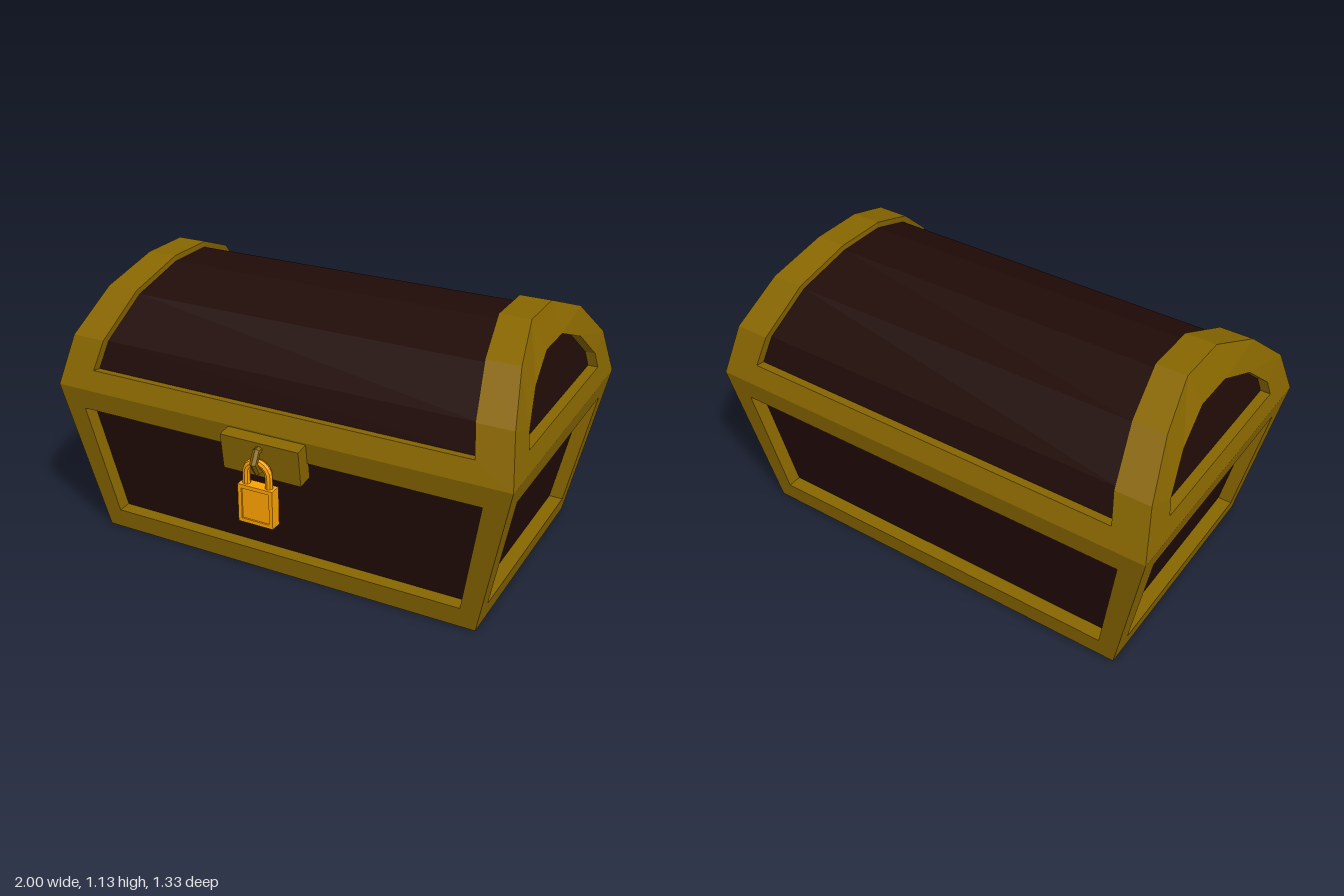
import * as THREE from 'three';

const ZC = -0.056; // the chest body sits slightly behind the origin
const mat = (color) => new THREE.MeshStandardMaterial({ color, flatShading: true });
const gold = mat(0x886600), wood = mat(0x200b07), brass = mat(0xffa200);

const V = (x, y, z) => new THREE.Vector3(x, y, z);

function quadMesh(name, quads, material) {
  const pts = quads.flatMap(([a, b, c, d]) => [a, b, c, a, c, d]);
  const geo = new THREE.BufferGeometry().setFromPoints(pts);
  geo.computeVertexNormals();
  const mesh = new THREE.Mesh(geo, material);
  mesh.name = name;
  return mesh;
}

// Gold border between two matching loops, with a sunken wooden panel inside.
// Loops run counter-clockwise seen from outside; point i faces point n-1-i.
function framedPanel(name, outer, inner, sink) {
  const n = outer.length, deep = inner.map(sink);
  const rim = [], panel = [];
  for (let i = 0; i < n; i++) {
    const j = (i + 1) % n;
    rim.push([outer[i], outer[j], inner[j], inner[i]]);
    rim.push([inner[i], inner[j], deep[j], deep[i]]);
  }
  for (let i = 0; i < n / 2 - 1; i++) panel.push([deep[i], deep[i + 1], deep[n - 2 - i], deep[n - 1 - i]]);
  const g = new THREE.Group();
  g.name = name;
  g.add(quadMesh(name + 'Rim', rim, gold), quadMesh(name + 'Panel', panel, wood));
  return g;
}

// Tapered lower box
const RIM_Y = 0.68, BODY_SINK = 0.06, END_SINK = 0.042;
const halfX = (y) => 0.86 + (0.14 * y) / RIM_Y;
const halfZ = (y) => 0.525 + (0.085 * y) / RIM_Y;

function createBody() {
  const g = new THREE.Group();
  g.name = 'body';
  const corners = [[-1, 0], [1, 0], [1, 1], [-1, 1]];
  // [height, margin] at the bottom and top of each loop
  const outer = [[0, 0], [RIM_Y, 0]], inner = [[0.09, 0.082], [0.588, 0.096]];
  for (const s of [1, -1]) {
    const face = (ends) => corners.map(([k, t]) => {
      const [y, m] = ends[t];
      return V(s * k * (halfX(y) - m), y, ZC + s * halfZ(y));
    });
    g.add(framedPanel(s > 0 ? 'bodyFront' : 'bodyBack', face(outer), face(inner),
      (p) => V(p.x, p.y, p.z - s * BODY_SINK)));
    const side = (ends) => corners.map(([k, t]) => {
      const [y, m] = ends[t];
      return V(s * halfX(y), y, ZC - s * k * (halfZ(y) - m));
    });
    g.add(framedPanel(s > 0 ? 'bodyLeft' : 'bodyRight', side(outer), side(inner),
      (p) => V(p.x - s * BODY_SINK, p.y, p.z)));
  }
  const base = (m) => [[-1, -1], [1, -1], [1, 1], [-1, 1]].map(([a, b]) => V(a * (halfX(0) - m), 0, ZC + b * (halfZ(0) - m)));
  g.add(framedPanel('bodyBottom', base(0), base(0.085), (p) => V(p.x, p.y + BODY_SINK, p.z)));
  return g;
}

// Faceted barrel lid: [half depth, height, half width] from the rim to the crown
const ARCH = [[0.61, 0.68, 1], [0.53, 0.88, 0.965], [0.345, 1.045, 0.91], [0.115, 1.135, 0.86]];
const TOP_OPENING = [[0.578, 0.76, 0.84], [0.53, 0.88, 0.815], [0.345, 1.045, 0.77], [0.115, 1.135, 0.73]];
const END_OPENING = [[0.42, 0.762], [0.4, 0.828], [0.27, 0.945], [0.09, 1.017]];

function endX(y) {
  let i = 0;
  while (i < 2 && y > ARCH[i + 1][1]) i++;
  const [, y0, x0] = ARCH[i], [, y1, x1] = ARCH[i + 1];
  return x0 + ((x1 - x0) * (y - y0)) / (y1 - y0);
}

function createLid() {
  const g = new THREE.Group();
  g.name = 'lid';
  // curved cover, running front to back on one side and returning on the other
  const rows = (pts) => [...pts, ...pts.map(([z, y, x]) => [-z, y, x]).reverse()];
  const loop = (pts) => {
    const r = rows(pts);
    return [...r.map(([z, y, x]) => V(x, y, ZC + z)), ...r.reverse().map(([z, y, x]) => V(-x, y, ZC + z))];
  };
  // the panel sinks a little deeper towards the rim than at the crown
  g.add(framedPanel('lidTop', loop(ARCH), loop(TOP_OPENING), (p) => {
    const toAxis = V(0, RIM_Y - p.y, ZC - p.z).setLength(0.025 + 0.04 * (1.135 - p.y));
    return p.clone().add(toAxis);
  }));
  // arched ends
  for (const s of [1, -1]) {
    const end = (pts) => {
      const back = pts.map(([z, y]) => V(s * endX(y), y, ZC - s * z));
      const front = pts.map(([z, y]) => V(s * endX(y), y, ZC + s * z)).reverse();
      return [...back, ...front];
    };
    g.add(framedPanel(s > 0 ? 'lidLeftEnd' : 'lidRightEnd', end(ARCH), end(END_OPENING),
      (p) => V(p.x - s * END_SINK, p.y, p.z)));
  }
  return g;
}

function add(parent, name, geo, material, x, y, z) {
  const mesh = new THREE.Mesh(geo, material);
  mesh.name = name;
  mesh.position.set(x, y, z);
  parent.add(mesh);
  return mesh;
}

function rectangle(Type, w, h) {
  return new Type([[-1, -1], [1, -1], [1, 1], [-1, 1]].map(([a, b]) => new THREE.Vector2((a * w) / 2, (b * h) / 2)));
}

// Hasp plate with its staple ring
function createHasp() {
  const g = new THREE.Group();
  g.name = 'hasp';
  add(g, 'haspPlate', new THREE.BoxGeometry(0.345, 0.155, 0.07), gold, 0, 0.593, 0.568).rotation.x = 0.12;
  add(g, 'stapleRing', new THREE.TorusGeometry(0.05, 0.016, 6, 6), gold, 0, 0.595, 0.602).rotation.y = Math.PI / 2;
  return g;
}

function createPadlock() {
  const g = new THREE.Group();
  g.name = 'padlock';
  const z = 0.624;
  add(g, 'lockCore', new THREE.BoxGeometry(0.145, 0.16, 0.036), brass, 0, 0.408, z);
  const border = rectangle(THREE.Shape, 0.154, 0.165);
  border.holes.push(rectangle(THREE.Path, 0.122, 0.133));
  add(g, 'lockBorder', new THREE.ExtrudeGeometry(border, { depth: 0.05, bevelEnabled: false }), brass, 0, 0.408, z - 0.025);
  add(g, 'shackleArch', new THREE.TorusGeometry(0.05, 0.016, 8, 10, Math.PI), brass, 0, 0.54, z);
  for (const s of [-1, 1])
    add(g, 'shackleLeg', new THREE.CylinderGeometry(0.016, 0.016, 0.07, 8), brass, s * 0.05, 0.506, z);
  return g;
}

export function createModel() {
  const chest = new THREE.Group();
  chest.name = 'chest';
  chest.add(createBody(), createLid(), createHasp(), createPadlock());
  return chest;
}
